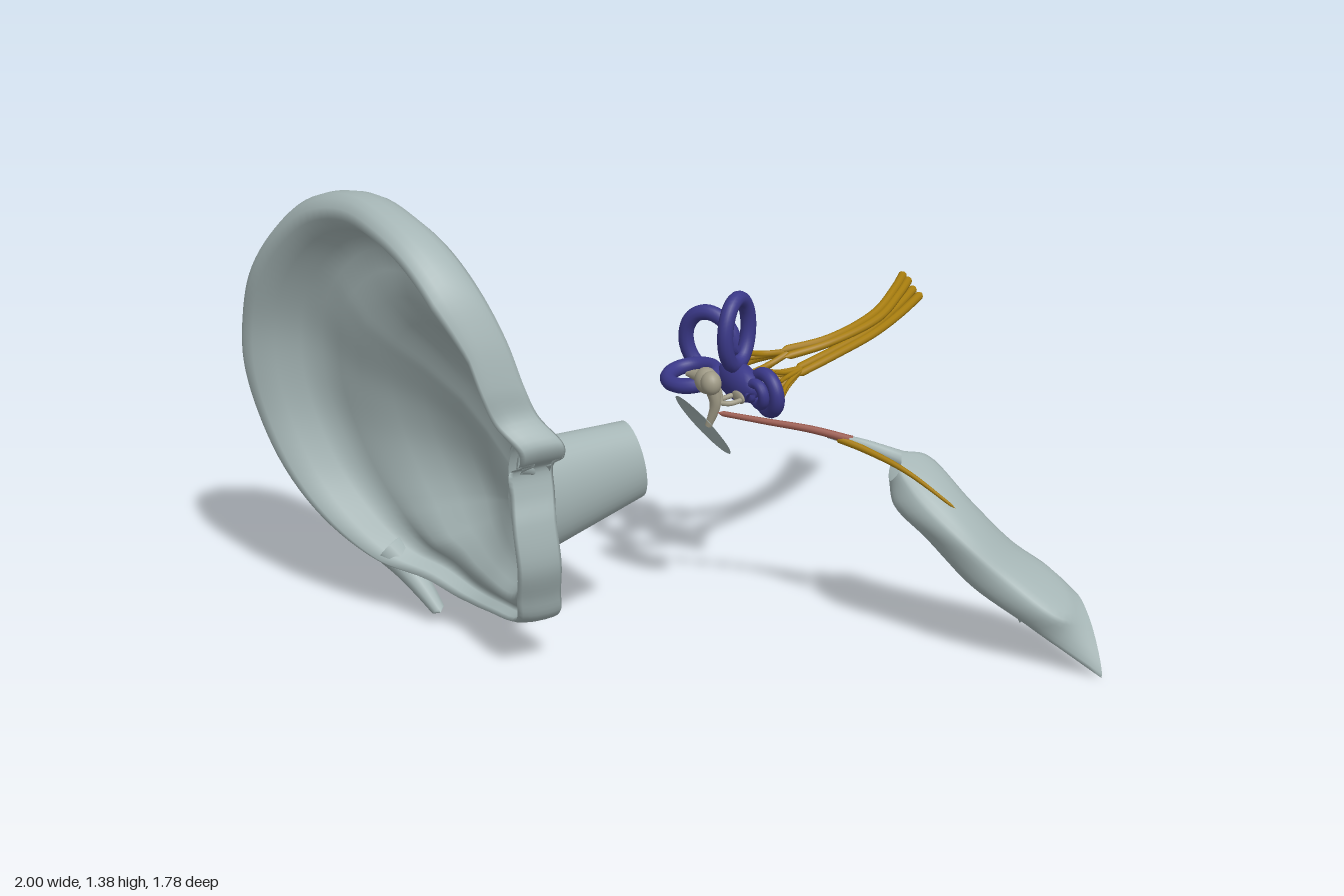
import * as THREE from 'three';

const V = (x, y, z) => new THREE.Vector3(x, y, z);
const mat = (name, color, side = THREE.FrontSide) => {
  const m = new THREE.MeshStandardMaterial({ color, side });
  m.name = name;
  return m;
};

export function createModel() {
  const model = new THREE.Group();
  model.name = 'earAnatomy';
  const skin = mat('paleGrey', 0xa5b5b5, THREE.DoubleSide);
  const blue = mat('deepBlue', 0x3a3888);
  const gold = mat('nerveGold', 0xa67c0e);
  const red = mat('muscleRed', 0x96564a);
  const bone = mat('bone', 0x9f9a86);

  const add = (name, geo, material) => {
    const mesh = new THREE.Mesh(geo, material);
    mesh.name = name;
    model.add(mesh);
    return mesh;
  };

  // Smooth surface through rows of points, each row a closed ring
  const loft = rows => {
    const n = rows[0].length, idx = [];
    for (let i = 0; i < rows.length - 1; i++) {
      for (let j = 0; j < n; j++) {
        const k = (j + 1) % n;
        const a = i * n + j, b = i * n + k, c = a + n, d = b + n;
        idx.push(a, c, b, b, c, d);
      }
    }
    const g = new THREE.BufferGeometry().setFromPoints(rows.flat());
    g.setIndex(idx);
    g.computeVertexNormals();
    return g;
  };

  // Tube whose radius follows a rule along its length, with closed tips
  const taper = (pts, radius, seg = 24, sides = 10) => {
    const curve = new THREE.CatmullRomCurve3(pts.map(p => V(...p)));
    const g = new THREE.TubeGeometry(curve, seg, 1, sides);
    const pos = g.attributes.position, v = V(0, 0, 0);
    for (let i = 0; i < pos.count; i++) {
      const ring = Math.floor(i / (sides + 1)), t = ring / seg;
      const c = curve.getPointAt(t);
      const r = ring === 0 || ring === seg ? 0 : radius(t);
      v.fromBufferAttribute(pos, i).sub(c).multiplyScalar(r).add(c);
      pos.setXYZ(i, v.x, v.y, v.z);
    }
    return g;
  };
  const lerp = THREE.MathUtils.lerp;
  const cord = (name, pts, r0, r1, material, seg, sides) =>
    add(name, taper(pts, t => lerp(r0, r1, t), seg, sides), material);
  const ball = (name, p, s, material) => {
    const m = add(name, new THREE.SphereGeometry(1, 20, 14), material);
    m.position.set(...p);
    m.scale.set(...s);
    return m;
  };

  // Auricle: rim outline as z, y, x, blended inward to the canal mouth
  const rim = new THREE.CatmullRomCurve3([
    [0.09, 0.92, -0.61], [0.06, 1.06, -0.65], [0, 1.2, -0.7], [-0.1, 1.3, -0.74],
    [-0.22, 1.355, -0.77], [-0.4, 1.38, -0.8], [-0.56, 1.34, -0.85], [-0.7, 1.23, -0.9],
    [-0.81, 1.08, -0.94], [-0.87, 0.93, -0.95], [-0.89, 0.77, -0.95], [-0.87, 0.6, -0.92],
    [-0.8, 0.43, -0.87], [-0.69, 0.29, -0.79], [-0.56, 0.18, -0.67], [-0.43, 0.14, -0.56],
    [-0.3, 0.1, -0.49], [-0.14, 0.12, -0.47], [0.04, 0.17, -0.47], [0.08, 0.26, -0.49],
    [0.12, 0.37, -0.51], [0.11, 0.5, -0.52], [0.085, 0.58, -0.51], [0.08, 0.66, -0.51],
    [0.13, 0.7, -0.5], [0.15, 0.75, -0.51], [0.1, 0.83, -0.57],
  ].map(([z, y, x]) => V(x, y, z)), true);
  const mouth = { x: -0.47, y: 0.52, z: -0.03, ry: 0.17, rz: 0.1 };
  // the inner face swells low down and flattens toward the top
  const bulge = (t, y) => 1 - (1 - t) ** 2.2
    + lerp(0.16, -0.08, THREE.MathUtils.clamp((y - 0.3) / 0.9, 0, 1)) * Math.sin(Math.PI * t);
  // [inward fraction, wall thickness]: concha, antihelix, groove, helix, rim, inner face
  const rings = [
    [1, 0.03], [0.87, 0.04], [0.74, 0.05], [0.6, 0.08], [0.5, 0.11], [0.4, 0.12], [0.3, 0.09],
    [0.22, 0.06], [0.17, 0.07], [0.135, 0.11], [0.09, 0.125], [0.05, 0.1], [0.02, 0.065], [0.004, 0.035],
    [0, 0], [0.008, -0.025], [0.025, -0.04], [0.06, -0.045], [0.13, -0.03], [0.22, -0.01],
    [0.34, 0], [0.48, 0], [0.64, 0], [0.82, 0], [1, 0],
  ];
  const N = 140;
  const rimPts = Array.from({ length: N }, (_, i) => rim.getPoint(i / N));
  const earRows = rings.map(([t, thick]) => rimPts.map(R => {
    const a = Math.atan2((R.y - mouth.y) / mouth.ry, (R.z - mouth.z) / mouth.rz);
    const my = mouth.y + mouth.ry * Math.sin(a), mz = mouth.z + mouth.rz * Math.cos(a);
    const reach = Math.min(1, Math.hypot(R.y - my, R.z - mz) / 0.5);
    const th = thick > 0.03 ? 0.03 + (thick - 0.03) * Math.max(0.7, reach) : thick;
    return V(lerp(R.x, mouth.x, bulge(t, R.y)) - th, lerp(R.y, my, t), lerp(R.z, mz, t));
  }));
  add('auricle', loft(earRows), skin);
  cord('helixTail', [[-0.7, 0.23, -0.55], [-0.66, 0.17, -0.505], [-0.63, 0.11, -0.455], [-0.6, 0.04, -0.4]],
    0.055, 0.02, skin);

  // Ear canal: open oval sleeve
  const canalRows = [0, 0.25, 0.5, 0.75, 1].map(t => Array.from({ length: 36 }, (_, i) => {
    const a = i / 36 * Math.PI * 2;
    return V(lerp(-0.49, -0.13, t) - 0.02 * Math.sin(a),
      lerp(mouth.y, 0.56, t) + lerp(mouth.ry + 0.006, 0.12, t) * Math.sin(a),
      lerp(mouth.z, -0.06, t) + lerp(mouth.rz + 0.006, 0.083, t) * Math.cos(a));
  }));
  add('earCanal', loft(canalRows), skin);

  // Eardrum: shallow slanted cone
  const drumRows = [1, 0.8, 0.5, 0.02].map(r => Array.from({ length: 32 }, (_, i) => {
    const a = i / 32 * Math.PI * 2, c = Math.cos(a) * r, s = Math.sin(a) * r;
    const d = 0.02 * (1 - r);
    return V(0.075 + 0.075 * c + d * 0.8, 0.645 - 0.1 * c + d * 0.6, 0.095 * s);
  }));
  add('eardrum', loft(drumRows), skin);

  // Ossicles
  ball('malleusHead', [0.08, 0.785, 0.035], [0.03, 0.036, 0.032], bone);
  cord('malleusHandle', [[0.08, 0.78, 0.035], [0.095, 0.72, 0.035], [0.085, 0.64, 0.01]], 0.022, 0.01, bone);
  ball('incusBody', [0.095, 0.775, -0.015], [0.034, 0.04, 0.04], bone);
  cord('incusShortProcess', [[0.095, 0.785, -0.01], [0.085, 0.78, -0.06], [0.08, 0.77, -0.105]], 0.028, 0.006, bone);
  cord('incusLongProcess', [[0.1, 0.77, -0.02], [0.135, 0.73, -0.025], [0.145, 0.695, -0.02]], 0.026, 0.01, bone);
  for (const s of [-1, 1]) {
    cord('stapesLeg', [[0.14, 0.695, -0.02], [0.165, 0.695, -0.02 + s * 0.022], [0.205, 0.7, -0.02 + s * 0.025]],
      0.008, 0.008, bone, 12, 8);
  }
  ball('stapesFootplate', [0.207, 0.7, -0.02], [0.008, 0.018, 0.034], bone);

  // Semicircular canals: closed loops from a centre and two half axes
  const loop = (name, c, u, w) => {
    const pts = Array.from({ length: 12 }, (_, i) => {
      const a = i / 12 * Math.PI * 2;
      return V(...c.map((v, k) => v + u[k] * Math.cos(a) + w[k] * Math.sin(a)));
    });
    add(name, new THREE.TubeGeometry(new THREE.CatmullRomCurve3(pts, true), 48, 0.0235, 12, true), blue);
  };
  loop('anteriorCanal', [0.243, 0.875, -0.09], [0.062, 0, -0.036], [0, 0.102, 0]);
  loop('posteriorCanal', [0.252, 0.79, -0.255], [0.046, 0, 0.066], [-0.01, 0.098, 0]);
  loop('lateralCanal', [0.165, 0.715, -0.215], [0.073, 0.012, 0], [0, 0, 0.075]);
  ball('vestibule', [0.25, 0.72, -0.09], [0.045, 0.06, 0.1], blue);
  cord('commonLimb', [[0.26, 0.8, -0.1], [0.27, 0.78, -0.15], [0.285, 0.74, -0.2]], 0.026, 0.022, blue);
  cord('lowerLimb', [[0.29, 0.67, -0.02], [0.28, 0.685, -0.1], [0.27, 0.69, -0.2]], 0.026, 0.022, blue);

  // Cochlea: spiral narrowing toward the apex
  const spiral = Array.from({ length: 34 }, (_, i) => {
    const t = i / 33, a = Math.PI + t * Math.PI * 5, r = lerp(0.068, 0.01, t);
    return [lerp(0.305, 0.225, t), 0.715 + r * Math.sin(a), 0.005 + r * Math.cos(a)];
  });
  cord('cochlea', spiral, 0.027, 0.014, blue, 110, 12);

  // Nerve trunks
  const trunks = [
    [[0.4, 0.785, -0.1], [0.55, 0.805, -0.07], [0.75, 0.835, -0.12], [0.88, 0.87, -0.2], [0.97, 0.885, -0.28]],
    [[0.4, 0.77, -0.08], [0.55, 0.795, -0.06], [0.75, 0.825, -0.1], [0.88, 0.855, -0.18], [0.975, 0.875, -0.255]],
    [[0.4, 0.75, -0.02], [0.55, 0.775, -0.045], [0.72, 0.8, -0.09], [0.86, 0.825, -0.16], [0.99, 0.845, -0.245]],
    [[0.4, 0.735, -0.01], [0.55, 0.765, -0.03], [0.72, 0.79, -0.075], [0.86, 0.81, -0.14], [0.998, 0.83, -0.22]],
  ];
  trunks.forEach(p => cord('nerveTrunk', p, 0.012, 0.014, gold, 28));

  // Fine branches fanning into the cochlea and canals
  for (let i = 0; i < 9; i++) {
    const a = i / 9 * Math.PI * 2, y = Math.sin(a), z = Math.cos(a);
    cord('cochlearBranch', [[0.31, 0.715 + 0.055 * y, 0.005 + 0.055 * z],
      [0.35, 0.725 + 0.03 * y, 0.03 * z - 0.01], [0.43, 0.75, -0.02]], 0.006, 0.009, gold, 12, 7);
  }
  for (const [x, y, z] of [[0.3, 0.79, -0.12], [0.27, 0.76, -0.16], [0.29, 0.7, -0.22],
    [0.28, 0.74, -0.08], [0.31, 0.68, -0.13]]) {
    cord('vestibularBranch', [[x, y, z], [0.36, 0.5 * y + 0.38, z * 0.7 - 0.04], [0.43, 0.78, -0.09]],
      0.009, 0.01, gold, 14, 7);
  }

  // Tensor muscle, its nerve and the bony point of the auditory tube
  cord('tensorMuscle', [[0.095, 0.695, 0.045], [0.2, 0.678, 0.135], [0.31, 0.66, 0.225], [0.41, 0.632, 0.31]],
    0.008, 0.013, red);
  cord('tensorNerve', [[0.36, 0.64, 0.26], [0.41, 0.62, 0.35], [0.46, 0.59, 0.48], [0.515, 0.525, 0.65]],
    0.012, 0.004, gold);
  cord('tubePoint', [[0.34, 0.645, 0.24], [0.41, 0.63, 0.315], [0.47, 0.605, 0.37], [0.53, 0.575, 0.4]],
    0.008, 0.026, skin);

  // Auditory tube: flattened sleeve with a notched end;
  // each station is lower edge, front, crest, back edge, underside
  const stations = [
    [[0.45, 0.54, 0.42], [0.46, 0.58, 0.45], [0.5, 0.615, 0.4], [0.52, 0.58, 0.34], [0.48, 0.55, 0.37]],
    [[0.455, 0.47, 0.44], [0.5, 0.5, 0.51], [0.585, 0.59, 0.41], [0.57, 0.5, 0.35], [0.51, 0.46, 0.38]],
    [[0.53, 0.37, 0.52], [0.58, 0.39, 0.62], [0.68, 0.46, 0.5], [0.64, 0.4, 0.37], [0.575, 0.36, 0.43]],
    [[0.61, 0.25, 0.62], [0.67, 0.29, 0.7], [0.79, 0.33, 0.56], [0.74, 0.28, 0.44], [0.67, 0.25, 0.52]],
    [[0.73, 0.14, 0.74], [0.79, 0.18, 0.81], [0.87, 0.26, 0.63], [0.8, 0.18, 0.5], [0.76, 0.18, 0.62]],
    [[0.88, 0.005, 0.89], [0.895, 0.16, 0.8], [0.91, 0.2, 0.69], [0.84, 0.05, 0.55], [0.86, 0.17, 0.7]],
  ];
  const edges = [0, 1, 2, 3, 4].map(k => new THREE.CatmullRomCurve3(stations.map(s => V(...s[k]))));
  const tubeRows = Array.from({ length: 31 }, (_, i) =>
    new THREE.CatmullRomCurve3(edges.map(e => e.getPoint(i / 30)), true).getPoints(30).slice(0, 30));
  add('auditoryTube', loft(tubeRows), skin);

  return model;
}
